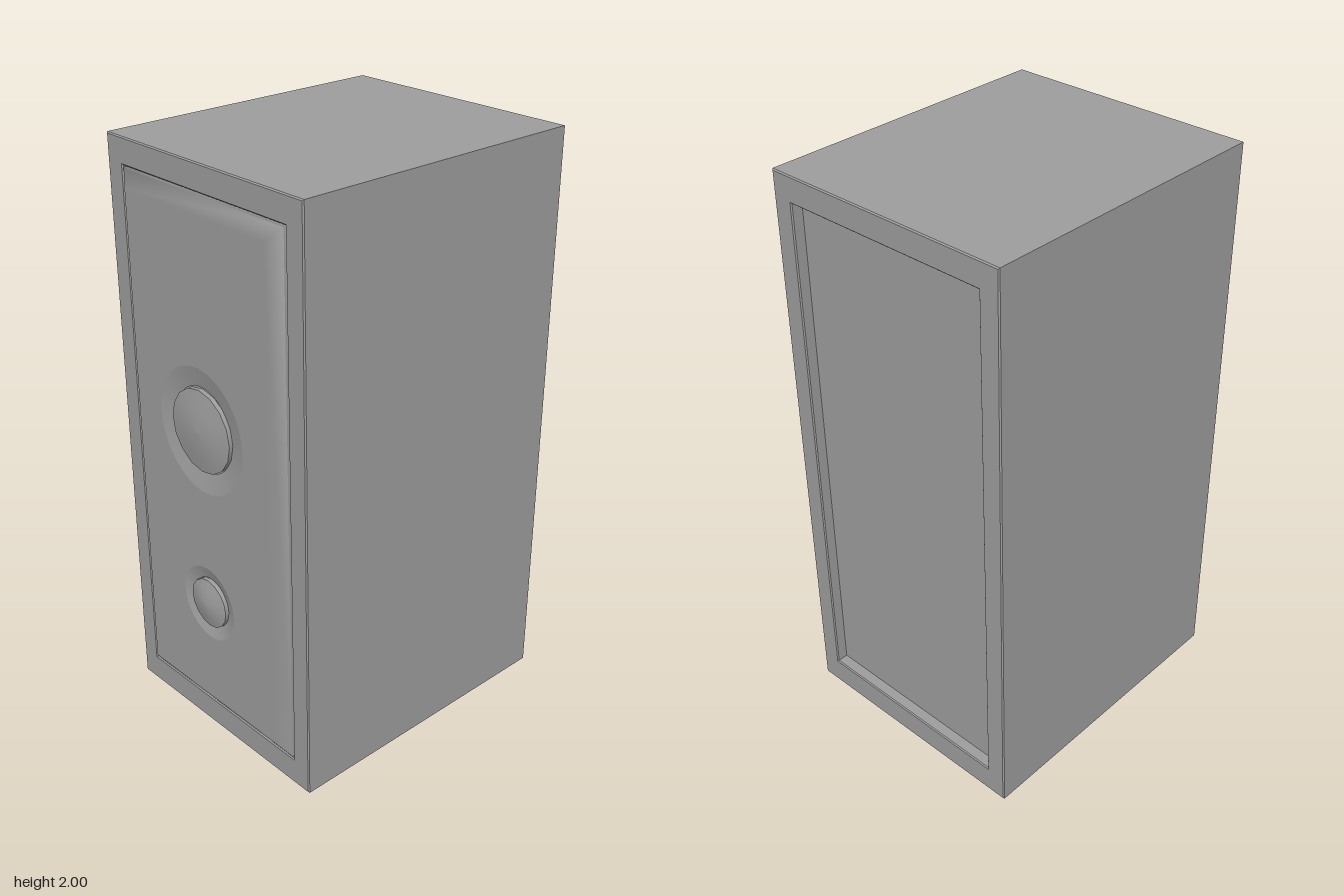
import * as THREE from 'three';

const material = new THREE.MeshStandardMaterial({ color: 0x9e9e9e });
const FACE_Z = 0.543;

// Adds a closed rectangle to a shape or path
function rect(path, hw, y0, y1) {
  path.moveTo(-hw, y0);
  path.lineTo(hw, y0);
  path.lineTo(hw, y1);
  path.lineTo(-hw, y1);
  path.closePath();
  return path;
}

function part(name, geometry, parent) {
  const mesh = new THREE.Mesh(geometry, material);
  mesh.name = name;
  parent.add(mesh);
  return mesh;
}

// Sloping rectangular border that blends softly into a flat face inside it
function bevelGeometry(outer, inner) {
  const ring = ([hw, y0, y1, z]) => [-hw, y0, z, hw, y0, z, hw, y1, z, -hw, y1, z];
  const index = [];
  for (let i = 0; i < 4; i++) {
    const j = (i + 1) % 4;
    index.push(i, j, 4 + j, i, 4 + j, 4 + i);
  }
  const g = new THREE.BufferGeometry();
  g.setAttribute('position', new THREE.Float32BufferAttribute([...ring(outer), ...ring(inner)], 3));
  g.setIndex(index);
  g.computeVertexNormals();
  for (let i = 4; i < 8; i++) g.attributes.normal.setXYZ(i, 0, 0, 1);
  return g;
}

// Surface of revolution facing +z, from [radius, z] pairs
function turned(profile, segments) {
  const g = new THREE.LatheGeometry(profile.map(([r, z]) => new THREE.Vector2(r, z)), segments);
  return g.rotateX(Math.PI / 2);
}

export function createModel() {
  const model = new THREE.Group();
  model.name = 'loudspeaker';

  // Cabinet walls with finely eased edges, open at front and back
  const walls = rect(new THREE.Shape(), 0.445, 0, 2);
  walls.holes.push(rect(new THREE.Path(), 0.372, 0.098, 1.912));
  const cabinet = new THREE.ExtrudeGeometry(walls, {
    depth: 1.062, bevelSize: 0.004, bevelThickness: 0.004, bevelOffset: -0.004, bevelSegments: 1,
  });
  cabinet.translate(0, 0, -0.556);
  part('cabinet', cabinet, model);

  // Recessed back panel
  const back = new THREE.BoxGeometry(0.744, 1.814, 0.02);
  back.translate(0, 1.005, -0.51);
  part('backPanel', back, model);

  const drivers = [
    { name: 'woofer', y: 1.166, rx: 0.2, ry: 0.213, cone: 0.14 },
    { name: 'tweeter', y: 0.534, rx: 0.127, ry: 0.133, cone: 0.087 },
  ];

  // Front panel with an opening for each driver
  const face = rect(new THREE.Shape(), 0.32, 0.15, 1.86);
  for (const d of drivers) {
    face.holes.push(new THREE.Path().absellipse(0, d.y, d.rx, d.ry, 0, Math.PI * 2, true));
  }
  const faceGeometry = new THREE.ShapeGeometry(face, 16);
  faceGeometry.translate(0, 0, FACE_Z);
  part('frontPanel', faceGeometry, model);

  // Panel border, and the narrow groove between it and the cabinet
  const edge = [0.366, 0.104, 1.906, 0.51];
  part('frontPanelBevel', bevelGeometry(edge, [0.32, 0.15, 1.86, FACE_Z]), model);
  part('frontPanelGroove', bevelGeometry([0.372, 0.098, 1.912, 0.485], edge), model);

  // Drivers: a shallow dished surround, and a low dome on a short rim
  for (const d of drivers) {
    const driver = new THREE.Group();
    driver.name = d.name;
    driver.position.y = d.y;
    model.add(driver);
    const surround = turned([[1, FACE_Z], [d.cone * 0.97 / d.rx, 0.53]], 32);
    surround.scale(d.rx, d.ry, 1);
    part(d.name + 'Surround', surround, driver);
    part(d.name + 'Rim', turned([[d.cone, 0.528], [d.cone, 0.544]], 16), driver);
    const dome = [[1, 0.544], [0.6, 0.553], [0.3, 0.558], [0, 0.56]];
    part(d.name + 'Dome', turned(dome.map(([r, z]) => [r * d.cone, z]), 16), driver);
  }

  return model;
}
